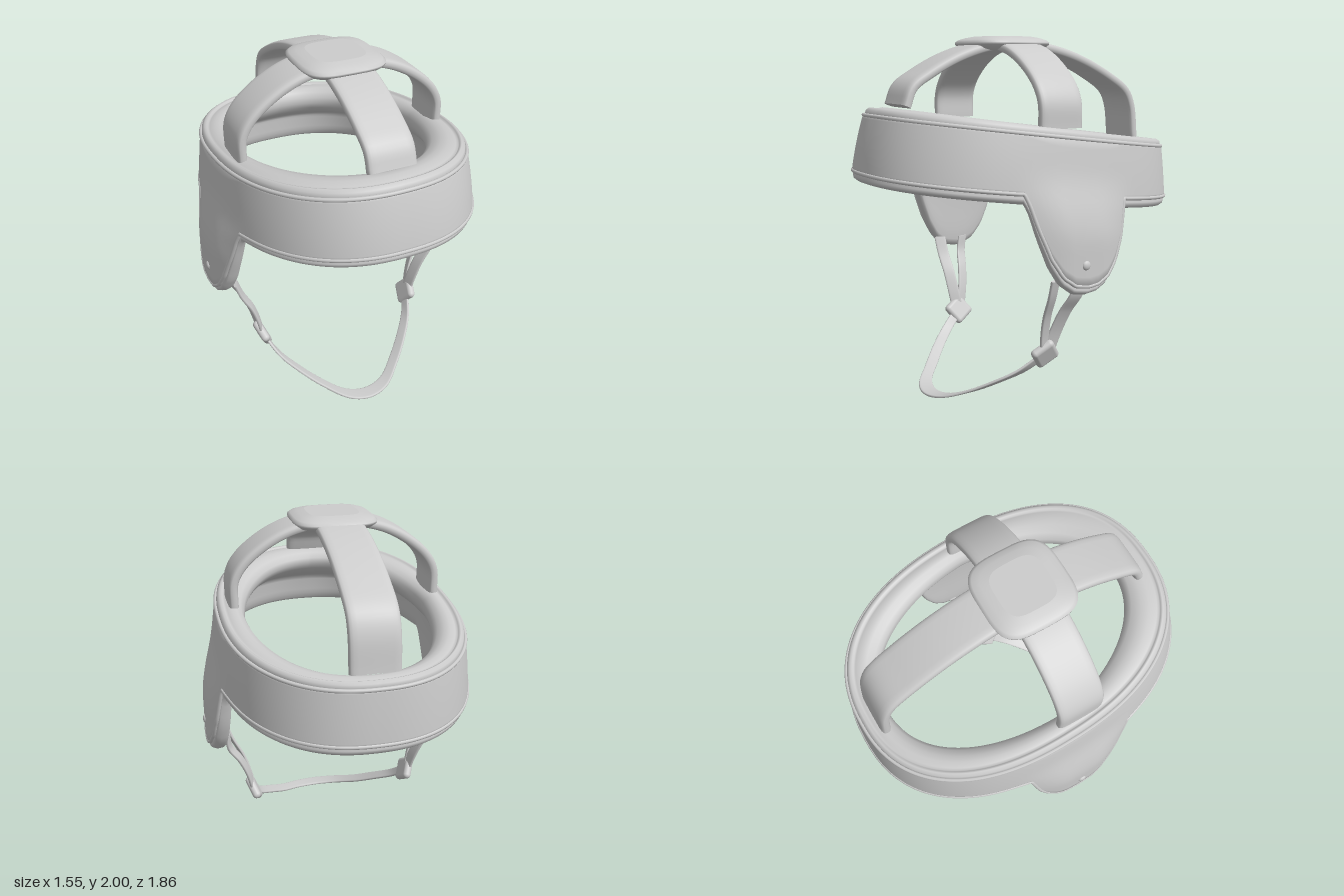
import * as THREE from 'three';
import { RoundedBoxGeometry } from 'three/addons/geometries/RoundedBoxGeometry.js';

const grey = new THREE.MeshStandardMaterial({ color: 0xcccccc, side: THREE.DoubleSide });
grey.name = 'padding grey';
const V = (x, y, z) => new THREE.Vector3(x, y, z);
const { smoothstep, lerp, clamp } = THREE.MathUtils;
const spow = (v, e) => Math.sign(v) * Math.abs(v) ** e;

function add(parent, geometry, name) {
  const mesh = new THREE.Mesh(geometry, grey);
  mesh.name = name;
  parent.add(mesh);
  return mesh;
}

// Skin a list of closed rings; either join last to first or cap both ends
function loft(rings, loop) {
  const n = rings[0].length, pos = [], idx = [];
  rings.forEach(r => r.forEach(p => pos.push(p.x, p.y, p.z)));
  const count = rings.length;
  for (let i = 0; i < (loop ? count : count - 1); i++) {
    const k = (i + 1) % count;
    for (let j = 0; j < n; j++) {
      const m = (j + 1) % n;
      const a = i * n + j, b = i * n + m, c = k * n + m, d = k * n + j;
      idx.push(a, b, d, b, c, d);
    }
  }
  if (!loop) [0, count - 1].forEach((i, end) => {
    const c = rings[i].reduce((s, p) => s.add(p), V(0, 0, 0)).divideScalar(n);
    const base = pos.length / 3;
    pos.push(c.x, c.y, c.z);
    rings[i].forEach(p => pos.push(p.x, p.y, p.z));
    for (let j = 0; j < n; j++) {
      const a = base + 1 + j, b = base + 1 + (j + 1) % n;
      idx.push(base, ...(end ? [a, b] : [b, a]));
    }
  });
  const g = new THREE.BufferGeometry();
  g.setAttribute('position', new THREE.Float32BufferAttribute(pos, 3));
  g.setIndex(idx);
  g.computeVertexNormals();
  return g;
}

// Flat strap with rounded edges, swept along a smooth path
function strap(points, across, width, thick, steps = 48) {
  const curve = new THREE.CatmullRomCurve3(points.map(p => V(...p)));
  const rings = [];
  for (let i = 0; i <= steps; i++) {
    const p = curve.getPointAt(i / steps);
    const n = curve.getTangentAt(i / steps).cross(across).normalize();
    const ring = [];
    for (let j = 0; j < 20; j++) {
      const a = j / 20 * Math.PI * 2;
      ring.push(p.clone()
        .addScaledVector(across, spow(Math.cos(a), 0.35) * width / 2)
        .addScaledVector(n, spow(Math.sin(a), 0.6) * thick / 2));
    }
    rings.push(ring);
  }
  return loft(rings, false);
}

// Sloping rims, and the lower edge with its ear flap (z, y)
const ROUND = 0.86;
const depth = t => 0.93 * spow(Math.sin(t), ROUND);
const topY = z => 1.512 + 0.119 * z;
const bandY = z => 1.126 + 0.114 * z;
const flap = [[-0.265, 1.096], [-0.25, 1.04], [-0.22, 0.91], [-0.17, 0.79], [-0.11, 0.715], [-0.04, 0.68],
  [0.02, 0.672], [0.1, 0.685], [0.17, 0.735], [0.23, 0.83], [0.29, 0.98], [0.335, 1.12], [0.36, 1.167]];
function bottomY(z) {
  for (let i = 0; i < flap.length - 1; i++) {
    const [z0, y0] = flap[i], [z1, y1] = flap[i + 1];
    if (z >= z0 && z <= z1) return lerp(y0, y1, (z - z0) / (z1 - z0));
  }
  return bandY(z);
}

// How far a spot belongs to the ear flap, 0 to 1
const flapness = (z, s) => smoothstep(s, 0.5, 1.5) * (1 - smoothstep(Math.abs(z - 0.03), 0.08, 0.42));

// Point on the oval wall at angle t and height y, moved inward by o
function wall(t, y, o) {
  const z = depth(t);
  const s = (topY(z) - y) / 0.38, c = clamp(s, 0, 1), k = c * (1.45 - 0.45 * c);
  const f = flapness(z, s);
  const inward = o * (1 + 0.75 * f);
  return V((lerp(0.655, 0.7, k) + 0.062 * f - inward) * spow(Math.cos(t), ROUND), y,
    lerp(-0.03, 0, k) + (lerp(0.87, 0.93, k) - o) * spow(Math.sin(t), ROUND));
}

const SEG = 360;
const around = f => Array.from({ length: SEG }, (_, i) => {
  const t = (i + 0.5) / SEG * Math.PI * 2, z = depth(t);
  return f(t, topY(z), bottomY(z));
});

export function createModel() {
  const model = new THREE.Group();
  model.name = 'paddedHelmet';

  // Outer cover, a thin closed skin including the ear flaps
  add(model, loft(around((t, top, bot) => {
    const hi = top - 0.035, lo = bot + 0.048, ring = [];
    for (let i = 0; i <= 14; i++) ring.push(wall(t, lerp(hi, lo, i / 14), 0));
    for (let i = 14; i >= 0; i -= 2) ring.push(wall(t, lerp(hi, lo, i / 14), 0.02));
    return ring;
  }), true), 'outerCover');

  // Soft liner: rolled rim on top, thick inner roll, padded lower edge
  add(model, loft(around((t, top, bot) => {
    const fat = 1 + 0.55 * Math.max(0, Math.sin(t)) + 0.22 * Math.abs(Math.sin(2 * t));
    const rim = [[0.02, -0.06], [0.008, -0.035], [0.008, -0.012], [0.022, 0], [0.034, -0.004], [0.042, -0.014],
      [0.052, -0.008], [0.075, 0], [0.1, -0.004], [0.13, -0.02], [0.15, -0.05], [0.158, -0.085],
      [0.15, -0.12], [0.13, -0.155], [0.095, -0.185], [0.064, -0.21]];
    const edge = [[0.06, 0.045], [0.056, 0.018], [0.044, 0.003], [0.028, 0], [0.013, 0.012], [0.007, 0.03], [0.015, 0.055]];
    const ring = rim.map(([o, h]) => wall(t, top + h, o > 0.05 ? 0.05 + (o - 0.05) * fat : o));
    for (let i = 1; i <= 8; i++) ring.push(wall(t, lerp(top - 0.215, bot + 0.045, i / 9), 0.062));
    edge.forEach(([o, h]) => ring.push(wall(t, bot + h, o)));
    for (let i = 1; i <= 8; i++) ring.push(wall(t, lerp(bot + 0.055, top - 0.06, i / 9), 0.015));
    return ring;
  }), true), 'liner');

  // Piping along the edges of the cover
  const piping = (f, name) => add(model, new THREE.TubeGeometry(
    new THREE.CatmullRomCurve3(around(f), true), 720, 0.011, 8, true), name);
  piping((t, top) => wall(t, top - 0.04, 0.004), 'topPiping');
  piping((t, top, bot) => wall(t, bot + 0.053, 0.004), 'bottomPiping');

  // Two crossing crown straps
  add(model, strap([[-0.568, 1.525, 0.075], [-0.563, 1.66, 0.075], [-0.508, 1.755, 0.075], [-0.36, 1.87, 0.075],
    [-0.2, 1.935, 0.075], [0, 1.955, 0.075], [0.2, 1.935, 0.075], [0.36, 1.87, 0.075], [0.508, 1.755, 0.075],
    [0.563, 1.66, 0.075], [0.568, 1.525, 0.075]], V(0, 0, 1), 0.26, 0.056, 80), 'sideToSideStrap');
  add(model, strap([[0, 1.635, 0.72], [0, 1.73, 0.68], [0, 1.8, 0.58], [0, 1.885, 0.41], [0, 1.94, 0.23],
    [0, 1.958, 0.075], [0, 1.94, -0.15], [0, 1.88, -0.38], [0, 1.78, -0.6], [0, 1.69, -0.735],
    [0, 1.6, -0.78], [0, 1.41, -0.805]], V(1, 0, 0), 0.265, 0.056, 80), 'frontToBackStrap');

  // Rounded square pad where the straps cross
  const padRings = [[0.17, 1.925], [0.205, 1.935], [0.228, 1.955], [0.23, 1.967], [0.215, 1.98], [0.18, 1.992], [0.14, 2]];
  add(model, loft(padRings.map(([r, y]) => Array.from({ length: 48 }, (_, j) => {
    const a = -j / 48 * Math.PI * 2;
    return V(spow(Math.cos(a), 0.55) * r, y, 0.075 + spow(Math.sin(a), 0.55) * r);
  })), false), 'crownPad');

  // Rivets, flap straps and buckles on each side
  for (const side of [1, -1]) {
    const g = new THREE.Group();
    g.name = side > 0 ? 'leftFastening' : 'rightFastening';
    const rivet = add(g, new THREE.SphereGeometry(0.025, 20, 12), 'rivet');
    rivet.scale.x = 0.6;
    rivet.position.set(side * 0.759, 0.84, 0.04);
    const path = pts => pts.map(([x, y, z]) => [side * x, y, z]);
    add(g, strap(path([[0.645, 0.75, 0.15], [0.61, 0.65, 0.145], [0.55, 0.53, 0.135], [0.515, 0.42, 0.125],
      [0.49, 0.3, 0.11]]), V(side * 0.35, 0, 0.94), 0.07, 0.018), 'frontFlapStrap');
    add(g, strap(path([[0.645, 0.74, -0.015], [0.63, 0.65, 0.005], [0.57, 0.55, 0.03], [0.525, 0.44, 0.055],
      [0.49, 0.3, 0.09]]), V(-side * 0.35, 0, 0.94), 0.07, 0.018), 'rearFlapStrap');
    const buckle = add(g, new RoundedBoxGeometry(0.05, 0.142, 0.14, 5, 0.024), 'buckle');
    buckle.position.set(side * 0.488, 0.298, 0.105);
    buckle.rotation.set(0.6, 0, -side * 0.42, 'ZYX');
    model.add(g);
  }

  // Chin strap hanging forward between the buckles
  const half = [[0.485, 0.29, 0.11], [0.43, 0.205, 0.22], [0.35, 0.14, 0.32], [0.24, 0.07, 0.43], [0.12, 0.022, 0.53]];
  const chin = [...half, [0, 0.009, 0.56], ...half.map(([x, y, z]) => [-x, y, z]).reverse()];
  add(model, strap(chin, V(0, 0, 1), 0.085, 0.017, 80), 'chinStrap');

  return model;
}
